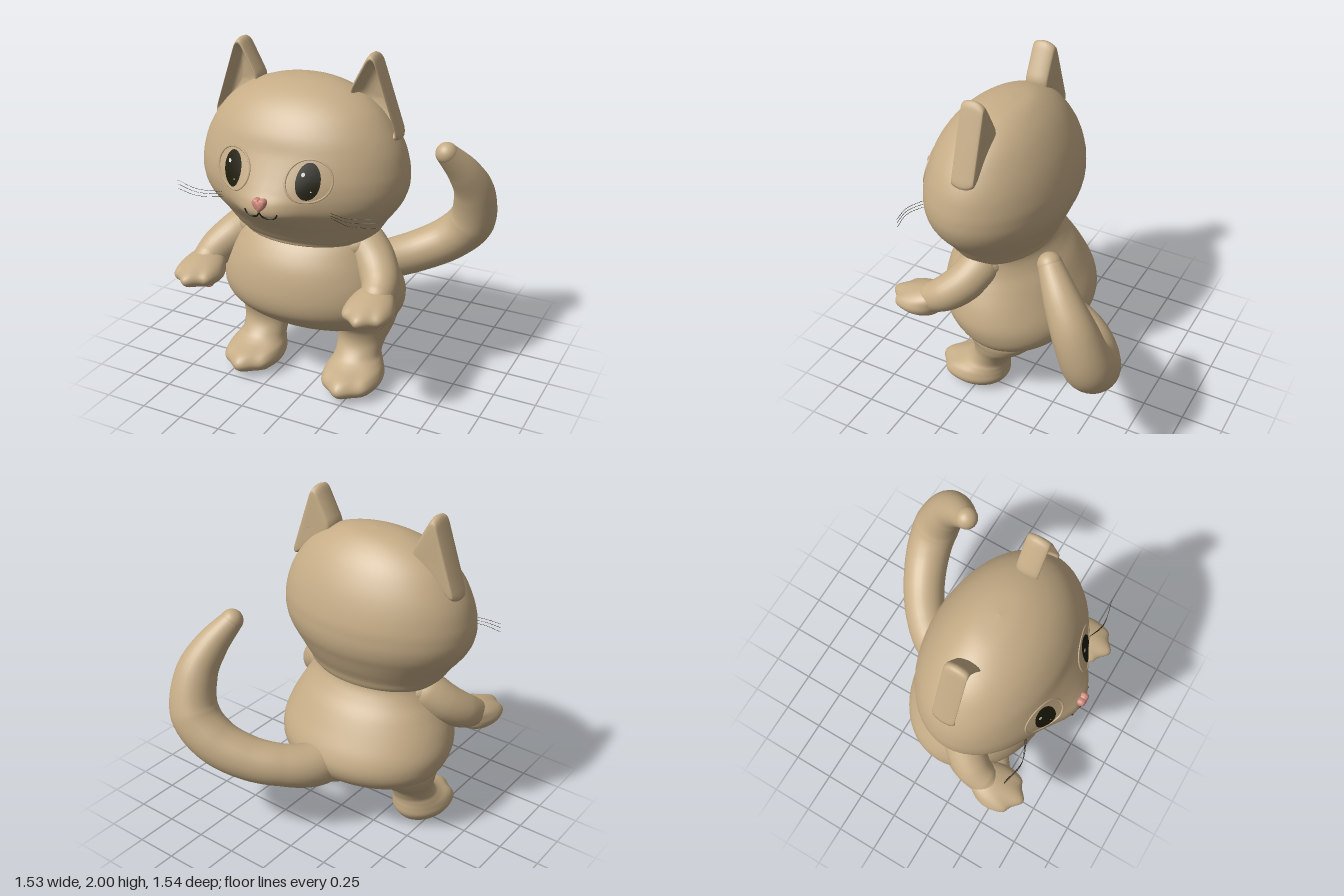
import * as THREE from 'three';
import { mergeVertices, toCreasedNormals } from 'three/addons/utils/BufferGeometryUtils.js';

const material = (name, color) => Object.assign(new THREE.MeshStandardMaterial({ color }), { name });
const fur = material('fur', 0xc5ac86);
const pink = material('pink', 0xd08a7c);
const dark = material('dark', 0x1f1d0c);
const white = material('white', 0xf4f2ea);
const V = (x, y, z) => new THREE.Vector3(x, y, z);
const { lerp, clamp } = THREE.MathUtils;

// Smooth in-between rows for a list of cross-sections
function dense(rows, steps = 6) {
  const out = [];
  const at = i => rows[clamp(i, 0, rows.length - 1)];
  for (let i = 0; i < rows.length - 1; i++) {
    for (let s = 0; s < steps; s++) {
      const t = s / steps;
      out.push(rows[i].map((p1, c) => {
        const p0 = at(i - 1)[c], p2 = at(i + 1)[c], p3 = at(i + 2)[c];
        return 0.5 * (2 * p1 + (p2 - p0) * t + (2 * p0 - 5 * p1 + 4 * p2 - p3) * t * t
          + (3 * p1 - p0 - 3 * p2 + p3) * t * t * t);
      }));
    }
  }
  out.push(rows.at(-1));
  return out;
}

// Surface through closed loops of equal length
function skin(loops) {
  const n = loops[0].length, index = [];
  for (let j = 0; j < loops.length - 1; j++) {
    for (let i = 0; i < n; i++) {
      const a = j * n + i, b = j * n + (i + 1) % n;
      index.push(a, b, b + n, a, b + n, a + n);
    }
  }
  const g = new THREE.BufferGeometry().setFromPoints(loops.flat());
  g.setIndex(index);
  g.computeVertexNormals();
  return g;
}

// Stacked horizontal ovals; row = [y, centre x, half width, back z, front z, detail]
function stack(rows, detail = () => 0, seg = 56) {
  return skin(rows.map(([y, cx, w, zb, zf, d = 0]) => Array.from({ length: seg }, (_, i) => {
    const a = i / seg * Math.PI * 2, dx = w * Math.sin(a), c = Math.cos(a);
    return V(cx + dx, y, (zb + zf) / 2 + (zf - zb) / 2 * c + d * Math.max(0, c) * detail(dx, a));
  })));
}

// Tube whose radius changes; point = [x, y, z, radius]
function limb(points, n = 48) {
  const curve = new THREE.CatmullRomCurve3(points.map(p => V(p[0], p[1], p[2])));
  const g = new THREE.TubeGeometry(curve, n, 1, 28);
  const pos = g.attributes.position, v = V();
  for (let i = 0; i < pos.count; i++) {
    const u = Math.floor(i / 29) / n, p = curve.getPointAt(u);
    const t = curve.getUtoTmapping(u) * (points.length - 1);
    const k = Math.min(Math.floor(t), points.length - 2);
    v.fromBufferAttribute(pos, i).sub(p).multiplyScalar(lerp(points[k][3], points[k + 1][3], t - k)).add(p);
    pos.setXYZ(i, v.x, v.y, v.z);
  }
  g.deleteAttribute('uv');
  g.deleteAttribute('normal');
  const merged = mergeVertices(g);
  merged.computeVertexNormals();
  return merged;
}

// Polygon outline with rounded corners, evenly spaced
function rounded(points, r) {
  const path = new THREE.Path(), pts = points.map(p => new THREE.Vector2(...p));
  pts.forEach((p, i) => {
    const toward = q => q.clone().sub(p).setLength(r).add(p);
    const a = toward(pts.at(i - 1)), b = toward(pts[(i + 1) % pts.length]);
    if (i) path.lineTo(a.x, a.y); else path.moveTo(a.x, a.y);
    path.quadraticCurveTo(p.x, p.y, b.x, b.y);
  });
  path.closePath();
  return path.getSpacedPoints(72).slice(0, -1);
}

const muzzle = dx => Math.exp(-(Math.abs(dx / 0.2) ** 2.6));
const headRows = dense([
  [0.925, 0, 0, 0.2, 0.22, 0], [0.935, 0, 0.32, -0.02, 0.455, 0], [0.965, 0, 0.41, -0.06, 0.49, 0],
  [1.02, 0, 0.455, -0.08, 0.53, 0], [1.08, 0, 0.495, -0.11, 0.57, 0.02], [1.15, 0, 0.55, -0.14, 0.62, 0.06],
  [1.21, 0, 0.585, -0.165, 0.65, 0.095], [1.27, 0, 0.605, -0.178, 0.66, 0.085], [1.33, 0, 0.61, -0.18, 0.66, 0.05],
  [1.4, 0, 0.603, -0.175, 0.65, 0.02], [1.5, 0, 0.575, -0.15, 0.62, 0], [1.6, 0, 0.52, -0.11, 0.58, 0],
  [1.7, 0, 0.435, -0.05, 0.51, 0], [1.775, 0, 0.32, 0.02, 0.42, 0], [1.825, 0, 0.17, 0.1, 0.31, 0],
  [1.84, 0, 0, 0.2, 0.21, 0]]);

// Depth of the face surface
function faceZ(x, y) {
  const i = clamp(headRows.findIndex(r => r[0] > y), 1, headRows.length - 1);
  const a = headRows[i - 1], b = headRows[i], t = (y - a[0]) / (b[0] - a[0]);
  const [, , w, zb, zf, d] = a.map((n, c) => lerp(n, b[c], t));
  const c = Math.sqrt(Math.max(0, 1 - (x / w) ** 2));
  return (zb + zf) / 2 + (zf - zb) / 2 * c + d * c * muzzle(x);
}

// Thin oval laid on the face
function faceOval(x, y, rx, ry, lift) {
  const g = new THREE.RingGeometry(0.001, 1, 36, 5).scale(rx, ry, 1).translate(x, y, 0);
  const p = g.attributes.position;
  for (let i = 0; i < p.count; i++) p.setZ(i, faceZ(p.getX(i), p.getY(i)) + lift);
  g.computeVertexNormals();
  return g;
}

export function createModel() {
  const model = new THREE.Group();
  model.name = 'cat';
  model.position.x = -0.0925;
  const add = (name, geometry, mat = fur) => {
    const m = new THREE.Mesh(geometry, mat);
    m.name = name;
    model.add(m);
  };
  const ball = (name, x, y, z, rx, ry, rz, mat) =>
    add(name, new THREE.SphereGeometry(1, 28, 18).scale(rx, ry, rz).translate(x, y, z), mat);
  const line = (name, pts, r, mat, closed = false) =>
    add(name, new THREE.TubeGeometry(new THREE.CatmullRomCurve3(pts, closed), 40, r, 6, closed), mat);
  const toes = (dx, a) => Math.cos(6 * a);

  add('head', stack(headRows, muzzle));
  add('torso', stack(dense([
    [0.265, 0, 0, 0.1, 0.11], [0.28, 0, 0.16, 0.02, 0.19], [0.33, 0, 0.34, -0.13, 0.3],
    [0.39, 0, 0.46, -0.23, 0.405], [0.45, 0, 0.52, -0.28, 0.485], [0.52, 0, 0.547, -0.297, 0.55],
    [0.6, 0, 0.553, -0.275, 0.575], [0.7, 0, 0.525, -0.22, 0.572], [0.8, 0, 0.475, -0.16, 0.55],
    [0.88, 0, 0.43, -0.1, 0.51], [0.95, 0, 0.4, -0.06, 0.455], [1.02, 0, 0.37, -0.05, 0.38]])));

  // Tail sweeping back, sideways and up
  add('tail', limb([[0.06, 0.5, 0, 0.1], [0.075, 0.465, -0.15, 0.145], [0.105, 0.465, -0.28, 0.135],
    [0.21, 0.495, -0.42, 0.126], [0.38, 0.545, -0.54, 0.132], [0.56, 0.64, -0.615, 0.14],
    [0.69, 0.78, -0.625, 0.145], [0.722, 1.0, -0.555, 0.124], [0.685, 1.15, -0.465, 0.1],
    [0.61, 1.295, -0.355, 0.067]], 80));
  ball('tailTip', 0.61, 1.295, -0.355, 0.067, 0.067, 0.067);

  for (const s of [1, -1]) {
    // Leg and lobed foot
    add('leg', stack(dense([
      [0.006, 0.327, 0, 0.24, 0.26, 0], [0.01, 0.327, 0.08, 0.16, 0.36, 0], [0.03, 0.327, 0.14, 0.11, 0.47, 0.01],
      [0.08, 0.327, 0.173, 0.075, 0.51, 0.014], [0.13, 0.325, 0.165, 0.07, 0.475, 0.014],
      [0.17, 0.322, 0.145, 0.07, 0.38, 0.004], [0.21, 0.315, 0.135, 0.06, 0.325, 0],
      [0.28, 0.317, 0.143, 0.02, 0.285, 0], [0.36, 0.315, 0.172, -0.08, 0.295, 0],
      [0.45, 0.295, 0.2, -0.15, 0.35, 0], [0.55, 0.25, 0.17, -0.12, 0.34, 0]]
      .map(([y, cx, ...rest]) => [y, s * cx, ...rest])), toes));
    ball('footPad', s * 0.327, 0.012, 0.27, 0.07, 0.012, 0.05, pink);
    for (const [dx, dz] of [[-0.09, 0.355], [-0.032, 0.4], [0.032, 0.4], [0.09, 0.355]])
      ball('footToePad', s * 0.327 + dx, 0.022, dz, 0.026, 0.016, 0.03, pink);

    // Arm and lobed paw
    add('arm', limb([[s * 0.27, 0.95, 0.2, 0.1], [s * 0.36, 0.905, 0.22, 0.125], [s * 0.45, 0.835, 0.27, 0.118],
      [s * 0.52, 0.765, 0.36, 0.107], [s * 0.54, 0.715, 0.46, 0.09], [s * 0.537, 0.69, 0.56, 0.05]]));
    ball('shoulder', s * 0.32, 0.925, 0.22, 0.13, 0.1, 0.14);
    add('paw', stack(dense([
      [0.608, 0, 0.49, 0.51, 0], [0.615, 0.075, 0.42, 0.59, 0], [0.64, 0.118, 0.39, 0.665, 0.012],
      [0.675, 0.138, 0.38, 0.695, 0.016], [0.71, 0.13, 0.37, 0.68, 0.014], [0.745, 0.105, 0.36, 0.61, 0.004],
      [0.775, 0.06, 0.37, 0.52, 0], [0.785, 0, 0.43, 0.45, 0]]
      .map(([y, ...rest]) => [y, s * 0.535, ...rest])), toes));
    ball('pawPad', s * 0.535, 0.617, 0.5, 0.06, 0.012, 0.045, pink);
    for (const [dx, dz] of [[-0.075, 0.57], [0, 0.61], [0.075, 0.57]])
      ball('pawToePad', s * 0.535 + dx, 0.628, dz, 0.026, 0.014, 0.03, pink);

    // Ear: rounded shell wrapping over its rim into a hollow
    const outline = rounded([[0.4, 2.04], [0.58, 1.52], [0.25, 1.76]].map(([x, y]) => [s * x, y]), 0.08);
    if (s > 0) outline.reverse();
    add('ear', skin(dense([[0.01, 0.13], [0.75, 0.13], [0.92, 0.142], [1, 0.19], [0.98, 0.24], [0.92, 0.265],
      [0.84, 0.255], [0.74, 0.21], [0.5, 0.18], [0.01, 0.17]], 3)
      .map(([k, z]) => outline.map(p => V(lerp(s * 0.43, p.x, k), lerp(1.75, p.y, k), z)))));

    // Eye with rim, pupil and glints
    const ex = s * 0.225, ey = 1.4;
    const ring = [];
    for (let i = 0; i < 24; i++) {
      const a = i / 24 * Math.PI * 2, x = ex + 0.117 * Math.cos(a), y = ey + 0.109 * Math.sin(a);
      ring.push(V(x, y, faceZ(x, y)));
    }
    line('eyeRim', ring, 0.006, fur, true);
    add('pupil', faceOval(ex, ey, 0.062, 0.095, 0.006), dark);
    add('eyeGlint', faceOval(ex - 0.027, ey + 0.035, 0.01, 0.011, 0.009), white);
    add('smallGlint', faceOval(ex + 0.02, ey - 0.05, 0.004, 0.004, 0.009), white);

    // Half of the mouth
    line('mouth', [[0, 1.235], [0.015, 1.212], [0.05, 1.2], [0.082, 1.208], [0.098, 1.232]]
      .map(([x, y]) => V(s * x, y, faceZ(x, y) + 0.001)), 0.0045, dark);

    // Whiskers
    for (const [y0, y1] of [[1.23, 1.255], [1.212, 1.232], [1.195, 1.205]])
      line('whisker', [V(s * 0.33, y0, faceZ(0.33, y0)), V(s * 0.46, lerp(y0, y1, 0.35), 0.63),
        V(s * 0.605, y1, 0.605)], 0.0012, dark);
  }

  // Heart-shaped nose
  const heart = new THREE.Shape();
  heart.moveTo(0, -0.034);
  heart.bezierCurveTo(0.02, -0.02, 0.036, -0.002, 0.034, 0.014);
  heart.bezierCurveTo(0.03, 0.034, 0.006, 0.032, 0, 0.016);
  heart.bezierCurveTo(-0.006, 0.032, -0.03, 0.034, -0.034, 0.014);
  heart.bezierCurveTo(-0.036, -0.002, -0.02, -0.02, 0, -0.034);
  add('nose', toCreasedNormals(new THREE.ExtrudeGeometry(heart, {
    depth: 0.012, bevelThickness: 0.02, bevelSize: 0.016, bevelOffset: -0.01, bevelSegments: 5, curveSegments: 8,
  }).translate(0, 1.275, faceZ(0, 1.275) - 0.008), 1), pink);
  return model;
}
